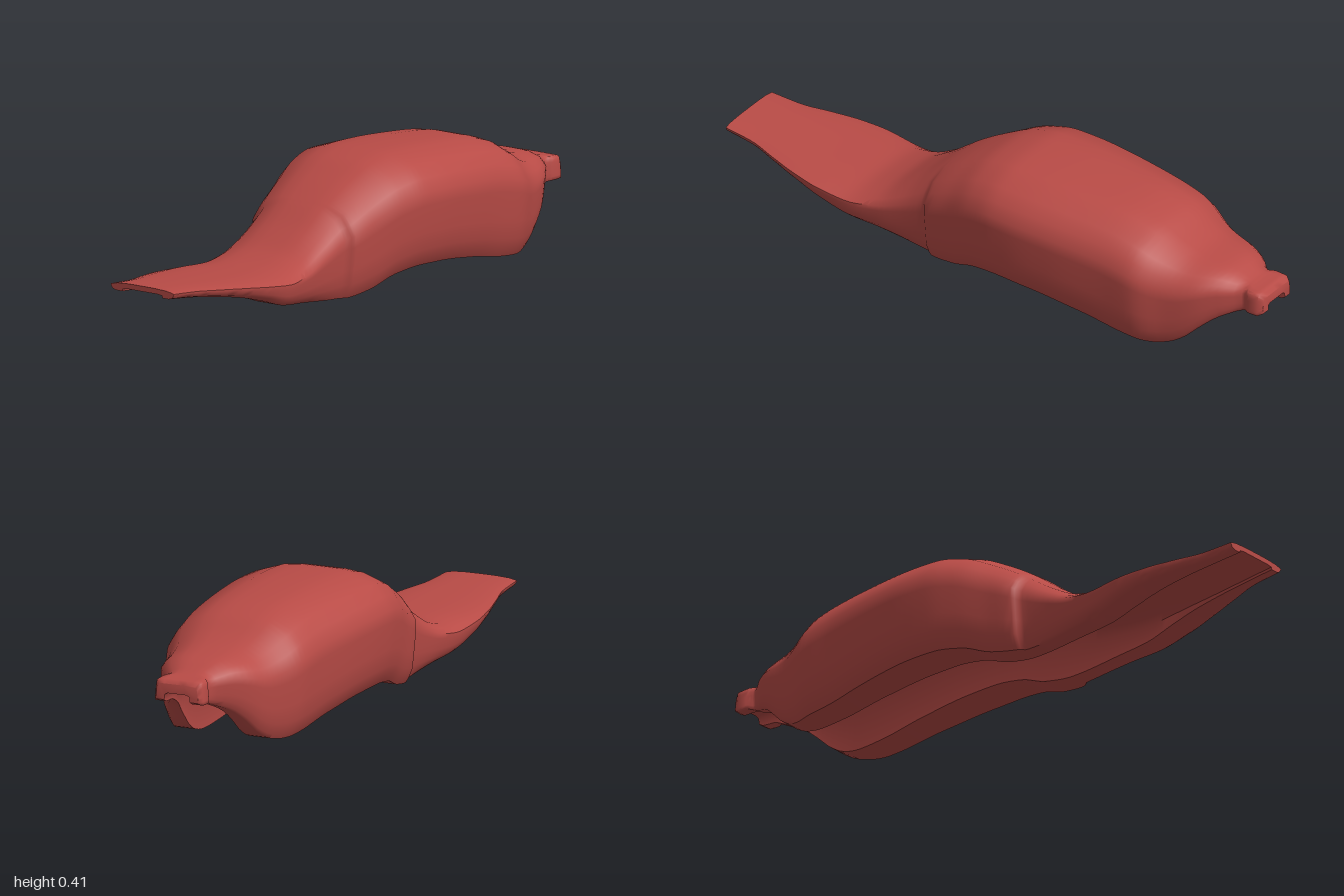
import * as THREE from 'three';
import { toCreasedNormals } from 'three/addons/utils/BufferGeometryUtils.js';

// Smooth, non-overshooting curve through [x, value] points
function profile(points) {
  const slope = (i) => (points[i + 1][1] - points[i][1]) / (points[i + 1][0] - points[i][0]);
  const tangents = points.map((p, i) => {
    if (i === 0) return slope(0);
    if (i === points.length - 1) return slope(i - 1);
    const a = slope(i - 1), b = slope(i);
    return a * b <= 0 ? 0 : (2 * a * b) / (a + b);
  });
  return (x) => {
    let i = 0;
    while (i < points.length - 2 && x > points[i + 1][0]) i++;
    const h = points[i + 1][0] - points[i][0];
    const t = (x - points[i][0]) / h, t2 = t * t, t3 = t2 * t;
    return points[i][1] * (2 * t3 - 3 * t2 + 1) + tangents[i] * h * (t3 - 2 * t2 + t)
      + points[i + 1][1] * (3 * t2 - 2 * t3) + tangents[i + 1] * h * (t3 - t2);
  };
}

// Back line, lower rim, half width, and the channel that runs underneath
const top = profile([[-1, 0.162], [-0.8, 0.149], [-0.6, 0.139], [-0.5, 0.136], [-0.4, 0.158],
  [-0.3, 0.215], [-0.2, 0.288], [-0.1, 0.348], [0, 0.393], [0.1, 0.41], [0.2, 0.408], [0.4, 0.395],
  [0.5, 0.384], [0.6, 0.358], [0.68, 0.315], [0.75, 0.288], [0.85, 0.272], [0.93, 0.24],
  [0.955, 0.236], [0.985, 0.234], [1, 0.222]]);
const bottom = profile([[-1, 0.135], [-0.9, 0.124], [-0.8, 0.111], [-0.7, 0.093], [-0.6, 0.065],
  [-0.5, 0.034], [-0.4, 0.022], [-0.2, 0.003], [-0.1, 0.016], [0, 0.05], [0.1, 0.062], [0.2, 0.059],
  [0.4, 0.035], [0.55, 0.008], [0.65, 0], [0.7, 0.008], [0.75, 0.034], [0.8, 0.08], [0.85, 0.121],
  [0.9, 0.145], [0.95, 0.161], [0.98, 0.161], [1, 0.17]]);
const width = profile([[-1, 0.125], [-0.9, 0.132], [-0.8, 0.16], [-0.7, 0.186], [-0.6, 0.199],
  [-0.5, 0.195], [-0.4, 0.184], [-0.3, 0.179], [-0.215, 0.183], [-0.19, 0.204], [-0.1, 0.224],
  [0, 0.25], [0.1, 0.267], [0.18, 0.27], [0.3, 0.264], [0.5, 0.245], [0.6, 0.239], [0.7, 0.201],
  [0.8, 0.164], [0.87, 0.118], [0.93, 0.074], [0.95, 0.085], [0.985, 0.085], [1, 0.074]]);
const ceiling = profile([[-1, 0.145], [-0.7, 0.114], [-0.5, 0.102], [-0.35, 0.115], [-0.2, 0.15],
  [0, 0.19], [0.2, 0.2], [0.5, 0.175], [0.65, 0.165], [0.8, 0.185], [0.93, 0.195], [1, 0.192]]);
const channel = profile([[-1, 0.08], [-0.7, 0.088], [0, 0.09], [0.65, 0.095], [0.8, 0.085],
  [0.93, 0.05], [1, 0.045]]);
const collar = profile([[-1, 0], [0.9, 0], [0.945, 1], [1, 1]]);

// Outer half-section as [fraction of width, fraction of height], body and squared collar
const bodyShape = [[0.23, 1], [0.45, 0.985], [0.77, 0.905], [0.9, 0.8], [1, 0.69], [1, 0.57],
  [0.965, 0.32], [0.94, 0.16], [0.87, 0.045], [0.83, 0]];
const collarShape = [[0.3, 1], [0.6, 1], [0.84, 0.99], [0.92, 0.92], [0.95, 0.75], [0.97, 0.57],
  [0.99, 0.32], [1, 0.16], [1, 0.04], [0.97, 0]];

// Closed U-shaped section at x, listed as [z, y]
function section(x) {
  const yt = top(x), yb = bottom(x), w = width(x), k = collar(x), yc = ceiling(x), c = channel(x);
  const half = bodyShape.map(([u, v], i) => [
    w * THREE.MathUtils.lerp(u, collarShape[i][0], k),
    yb + (yt - yb) * THREE.MathUtils.lerp(v, collarShape[i][1], k),
  ]);
  half.push([c, yb], [c * 0.97, yb + (yc - yb) * 0.75], [c * 0.75, yc]);
  const mirrored = half.map(([z, y]) => [-z, y]).reverse();
  return [[0, yt], ...half, [0, yc], ...mirrored];
}

function bodyGeometry() {
  const xs = [];
  for (let i = 0; i <= 96; i++) xs.push(-1 + i / 50);
  xs.push(0.93, 0.938, 0.944, 0.95, 0.97, 0.985, 1);
  xs.push(-0.21, -0.195, -0.19);
  const stations = [...new Set(xs)].sort((a, b) => a - b);
  const rings = stations.map(section);
  const n = rings[0].length;
  const positions = [], index = [];
  rings.forEach((ring, i) => ring.forEach(([z, y]) => positions.push(stations[i], y, z)));
  for (let i = 0; i < rings.length - 1; i++) {
    for (let j = 0; j < n; j++) {
      const a = i * n + j, b = i * n + (j + 1) % n;
      index.push(a, b, a + n, b, b + n, a + n);
    }
  }
  // Closing faces at the tail and head ends
  for (const i of [0, rings.length - 1]) {
    const outline = rings[i].map(([z, y]) => new THREE.Vector2(-z, y));
    for (const [a, b, c] of THREE.ShapeUtils.triangulateShape(outline, [])) {
      const o = i * n;
      if (i === 0) index.push(o + a, o + c, o + b);
      else index.push(o + a, o + b, o + c);
    }
  }
  const geometry = new THREE.BufferGeometry();
  geometry.setAttribute('position', new THREE.Float32BufferAttribute(positions, 3));
  geometry.setIndex(index);
  return toCreasedNormals(geometry, 0.95);
}

export function createModel() {
  const group = new THREE.Group();
  group.name = 'channelledShell';
  const red = new THREE.MeshStandardMaterial({ color: 0xb84b46, side: THREE.DoubleSide });
  red.name = 'red';
  const body = new THREE.Mesh(bodyGeometry(), red);
  body.name = 'shellBody';
  group.add(body);
  return group;
}
